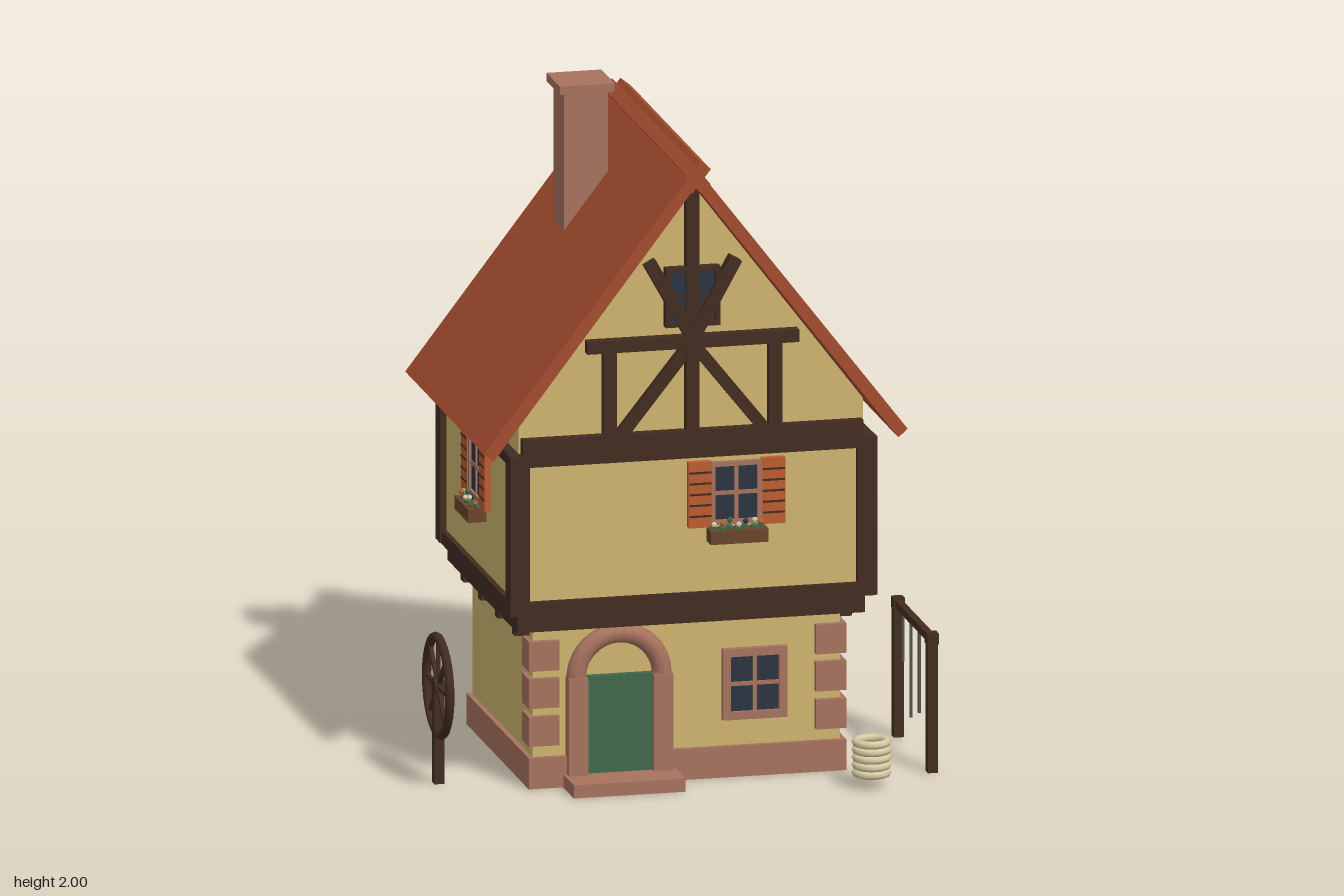
import * as THREE from 'three';

const mat = (name, color) => {
  const m = new THREE.MeshStandardMaterial({ color });
  m.name = name;
  return m;
};

export function createModel() {
  const plaster = mat('plaster', 0xd0b570), stone = mat('stone', 0xa8735f), wood = mat('darkTimber', 0x432c21);
  const tile = mat('roofTile', 0xa64d30), green = mat('green', 0x40694a), orange = mat('shutterOrange', 0xbc5e32);
  const glass = mat('glass', 0x2c3542), planter = mat('planterWood', 0x6a4528);
  const cream = mat('cream', 0xd8cca2), iron = mat('iron', 0x55524c);
  const model = new THREE.Group();
  model.name = 'timberHouse';
  const ZC = -0.07; // middle of the house in z

  const add = (name, geo, m, parent = model) => {
    const mesh = new THREE.Mesh(geo, m);
    mesh.name = name;
    parent.add(mesh);
    return mesh;
  };
  // box given by its limits
  const box = (name, m, x0, x1, y0, y1, z0, z1, parent = model) => {
    const b = add(name, new THREE.BoxGeometry(x1 - x0, y1 - y0, z1 - z0), m, parent);
    b.position.set((x0 + x1) / 2, (y0 + y1) / 2, (z0 + z1) / 2);
    return b;
  };
  // straight timber between two points in the xy plane
  const bar = (name, m, x0, y0, x1, y1, w, z0, z1, parent) => {
    const b = add(name, new THREE.BoxGeometry(w, Math.hypot(x1 - x0, y1 - y0), z1 - z0), m, parent);
    b.position.set((x0 + x1) / 2, (y0 + y1) / 2, (z0 + z1) / 2);
    b.rotation.z = Math.atan2(y1 - y0, x1 - x0) - Math.PI / 2;
    return b;
  };
  const extrude = (name, m, pts, z0, z1) => {
    const shape = new THREE.Shape(pts.map(p => new THREE.Vector2(...p)));
    const e = add(name, new THREE.ExtrudeGeometry(shape, { depth: z1 - z0, bevelEnabled: false }), m);
    e.position.z = z0;
    return e;
  };
  const group = (name, x = 0, y = 0, z = 0, ry = 0) => {
    const g = new THREE.Group();
    g.name = name;
    g.position.set(x, y, z);
    g.rotation.y = ry;
    model.add(g);
    return g;
  };
  // glazed frame with a cross of glazing bars, standing on local z = 0
  const pane = (g, m, w, h, t, d) => {
    box('glass', glass, -w / 2 + t, w / 2 - t, -h / 2 + t, h / 2 - t, -0.005, d * 0.5, g);
    for (const s of [-1, 1]) {
      bar('windowSide', m, s * (w - t) / 2, -h / 2, s * (w - t) / 2, h / 2, t, -0.005, d, g);
      bar('windowRail', m, -w / 2 + t, s * (h - t) / 2, w / 2 - t, s * (h - t) / 2, t, -0.005, d, g);
    }
    box('mullion', m, -0.006, 0.006, -h / 2 + t, h / 2 - t, 0, d * 0.75, g);
    box('transom', m, -w / 2 + t, w / 2 - t, -0.006, 0.006, 0, d * 0.72, g);
  };

  // ground floor
  box('groundWall', plaster, -0.465, 0.465, 0, 0.5, ZC - 0.375, ZC + 0.375);
  box('plinth', stone, -0.48, 0.48, 0.001, 0.095, ZC - 0.39, ZC + 0.39);
  for (const s of [-1, 1])
    for (const y of [0.13, 0.245, 0.358])
      box('cornerStone', stone, s * 0.434 - 0.046, s * 0.434 + 0.046, y, y + 0.09, 0.235, 0.322);

  // doorway
  box('doorStep', stone, -0.375, -0.037, 0, 0.04, 0.3, 0.45);
  box('door', green, -0.31, -0.105, 0.04, 0.335, 0.29, 0.326);
  for (const x of [-0.365, -0.108]) box('doorJamb', stone, x, x + 0.058, 0.04, 0.335, 0.29, 0.35);
  add('doorArch', new THREE.TorusGeometry(0.129, 0.03, 10, 20, Math.PI), stone).position.set(-0.2075, 0.332, 0.32);
  pane(group('groundWindow', 0.203, 0.283, 0.305), stone, 0.195, 0.215, 0.024, 0.022);

  // jetty beams and joists
  box('jetty', wood, -0.525, 0.525, 0.49, 0.556, ZC - 0.44, ZC + 0.437);
  for (const z of [0.25, 0.04, -0.175, -0.39]) box('joist', wood, -0.51, 0.51, 0.455, 0.495, z - 0.018, z + 0.018);

  // upper floor with its timber frame
  box('upperWall', plaster, -0.535, 0.535, 0.55, 1.02, ZC - 0.45, ZC + 0.45);
  for (const [y0, y1] of [[0.548, 0.588], [0.998, 1.032]]) {
    for (const s of [-1, 1]) {
      box('frontBackBeam', wood, -0.55, 0.55, y0, y1, ZC + s * 0.44 - 0.028, ZC + s * 0.44 + 0.028);
      box('sideBeam', wood, s * 0.523 - 0.028, s * 0.523 + 0.028, y0, y1, ZC - 0.46, ZC + 0.46);
    }
  }
  for (const sx of [-1, 1])
    for (const sz of [-1, 1])
      box('cornerPost', wood, sx * 0.525 - 0.03, sx * 0.525 + 0.03, 0.55, 1.03,
        ZC + sz * 0.44 - 0.03, ZC + sz * 0.44 + 0.03);

  // shuttered windows with flower boxes on all four sides
  const petals = [cream, orange, green, cream, glass, cream, orange];
  const shutteredWindow = (name, x, z, ry) => {
    const g = group(name, x, 0.885, z, ry);
    pane(g, stone, 0.155, 0.19, 0.014, 0.016);
    for (const s of [-1, 1]) {
      box('shutter', orange, s * 0.111 - 0.035, s * 0.111 + 0.035, -0.1, 0.1, -0.005, 0.02, g);
      for (let i = 0; i < 5; i++)
        box('shutterSlot', wood, s * 0.111 - 0.033, s * 0.111 + 0.033, -0.068 + i * 0.033, -0.062 + i * 0.033, 0.018, 0.022, g);
    }
    box('flowerBox', planter, -0.087, 0.087, -0.145, -0.105, 0, 0.055, g);
    petals.forEach((m, i) => {
      const fx = -0.072 + i * 0.024, fz = 0.03 + (i % 2) * 0.012;
      add('leaf', new THREE.IcosahedronGeometry(0.013, 0), green, g).position.set(fx, -0.102, fz - 0.008);
      add('flower', new THREE.IcosahedronGeometry(0.009, 0), m, g).position.set(fx, -0.09 + (i % 3) * 0.006, fz);
    });
  };
  shutteredWindow('frontWindow', 0.13, ZC + 0.45, 0);
  shutteredWindow('backWindow', 0.13, ZC - 0.45, Math.PI);
  shutteredWindow('leftWindow', 0.535, ZC, Math.PI / 2);
  shutteredWindow('rightWindow', -0.535, ZC, -Math.PI / 2);

  // attic and gable timbers
  extrude('attic', plaster, [[-0.52, 1.02], [0.52, 1.02], [0.52, 1.14], [0, 1.825], [-0.52, 1.14]], ZC - 0.43, ZC + 0.43);
  for (const back of [0, 1]) {
    const g = group(back ? 'backGable' : 'frontGable', 0, 0, ZC + (back ? -0.43 : 0.43), back * Math.PI);
    box('gableSill', wood, -0.515, 0.515, 1.03, 1.08, -0.02, 0.032, g);
    box('collarBeam', wood, -0.32, 0.32, 1.33, 1.368, -0.01, 0.034, g);
    box('kingPost', wood, -0.02, 0.02, 1.08, 1.83, -0.01, 0.028, g);
    for (const s of [-1, 1]) {
      bar('gablePost', wood, s * 0.25, 1.08, s * 0.25, 1.335, 0.04, -0.01, 0.028, g);
      bar('lowerBrace', wood, s * 0.215, 1.075, 0, 1.345, 0.036, -0.01, 0.025, g);
      bar('upperBrace', wood, 0, 1.36, s * 0.13, 1.595, 0.038, -0.01, 0.036, g);
    }
    const w = new THREE.Group();
    w.name = 'gableWindow';
    w.position.set(0, 1.485, 0);
    g.add(w);
    pane(w, wood, 0.165, 0.18, 0.014, 0.03);
  }

  // roof, ridge tiles and chimney
  extrude('roof', tile, [[-0.64, 1.055], [-0.612, 1.03], [0, 1.83], [0.612, 1.03], [0.64, 1.055], [0, 1.888]], -0.565, 0.425);
  for (const s of [-1, 1])
    bar('ridgeTile', tile, -s * 0.028, 1.822, s * 0.028, 1.893, 0.04, -0.572, 0.43);
  box('chimney', stone, -0.253, -0.12, 1.35, 1.98, -0.312, -0.178);
  box('chimneyCap', stone, -0.27, -0.104, 1.975, 2, -0.328, -0.162);

  // spoked wheel on a post
  const wheel = group('wheel', -0.72, 0.295, 0.18, Math.PI / 2);
  add('rim', new THREE.TorusGeometry(0.146, 0.014, 8, 28), wood, wheel);
  for (let i = 0; i < 4; i++) {
    const a = i * Math.PI / 4, c = Math.cos(a) * 0.145, s = Math.sin(a) * 0.145;
    bar('spokes', wood, -c, -s, c, s, 0.011, -0.006, 0.006, wheel);
  }
  add('hub', new THREE.CylinderGeometry(0.024, 0.024, 0.03, 12), wood, wheel).rotation.x = Math.PI / 2;
  box('wheelPost', wood, -0.735, -0.705, 0, 0.28, 0.165, 0.195);

  // hanging rack
  for (const z of [0.395, -0.03]) {
    box('rackPost', wood, 0.705, 0.735, 0, 0.415, z - 0.015, z + 0.015);
    box('rackCap', wood, 0.703, 0.737, 0.39, 0.424, z - 0.018, z + 0.018);
  }
  box('rackRail', wood, 0.709, 0.731, 0.393, 0.416, -0.03, 0.395);
  for (const [z, y] of [[0.345, 0.2], [0.24, 0.14], [0.135, 0.1], [0.035, 0.245]])
    box('hangingRod', iron, 0.716, 0.724, y, 0.395, z - 0.004, z + 0.004);

  // coiled rope
  for (let i = 0; i < 5; i++) {
    const ring = add('ropeCoil', new THREE.TorusGeometry(0.046, 0.0125, 8, 24), cream);
    ring.rotation.x = Math.PI / 2;
    ring.position.set(0.507, 0.045 + i * 0.023, 0.522);
  }
  return model;
}
